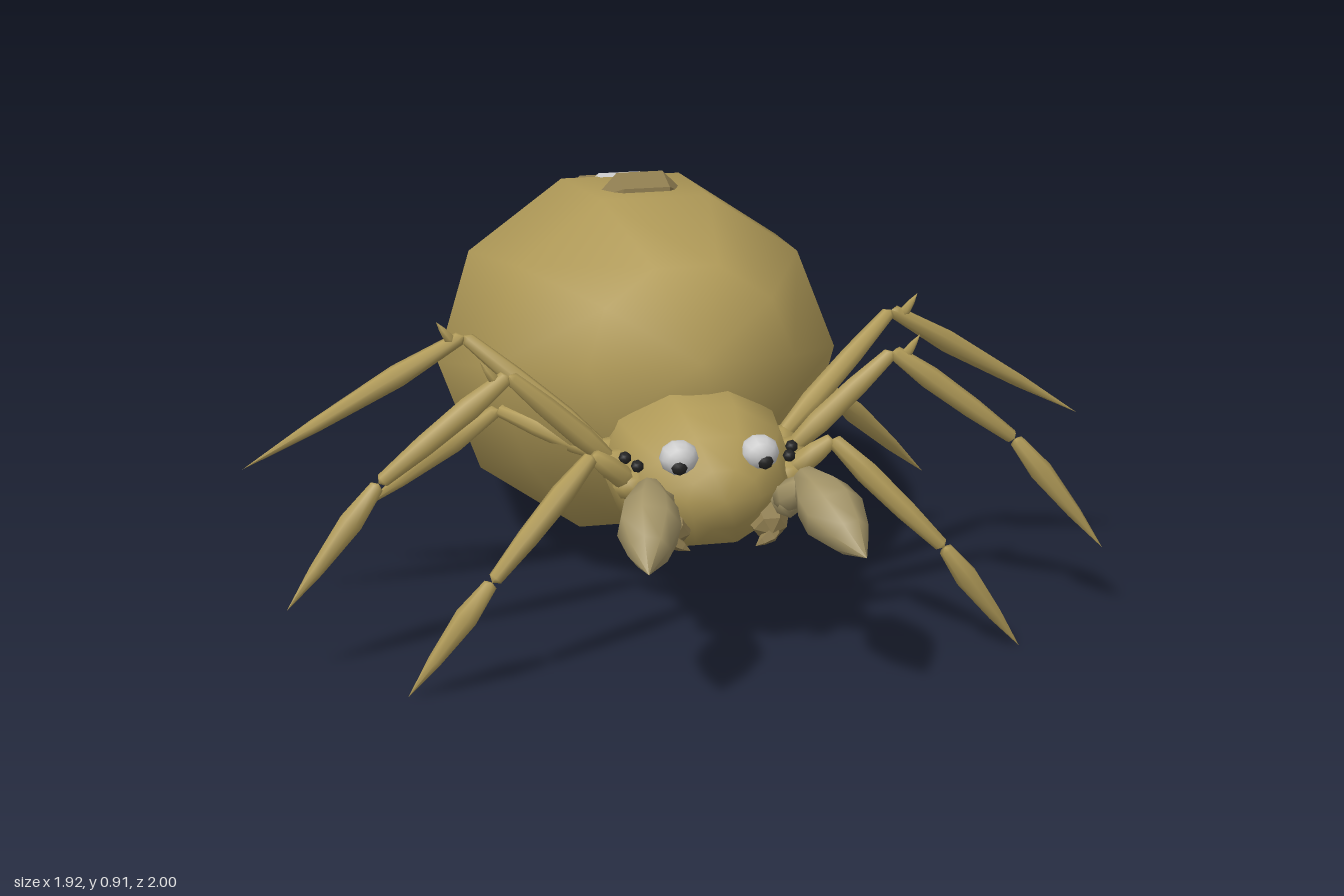
import * as THREE from 'three';

const mat = (color, flatShading = false) => new THREE.MeshStandardMaterial({ color, flatShading });
const BODY = mat(0xb09a58), PALP = mat(0xa39468), SPOT = mat(0x8f7d50, true), PALE = mat(0xcccccc, true);
const WHITE = mat(0xcccccc), DARK = mat(0x222222);
const V = (p) => new THREE.Vector3(...p);

export function createModel() {
  const root = new THREE.Group();

  const add = (name, geo, material, parent = root) => {
    const mesh = new THREE.Mesh(geo, material);
    mesh.name = name;
    parent.add(mesh);
    return mesh;
  };

  // Ellipsoid whose poles lie along z, with a vertex on each side
  const ellipsoid = (name, pos, size, seg, rings, material, parent) => {
    const geo = new THREE.SphereGeometry(1, seg, rings).rotateX(Math.PI / 2).scale(...size);
    const mesh = add(name, geo, material, parent);
    mesh.position.set(...pos);
    return mesh;
  };

  // Tapered limb segment from a to b; profile holds [radius, fraction along]
  const LIMB = [[0, 0], [0.65, 0.02], [1, 0.3], [0.9, 0.65], [0.6, 0.97], [0, 1]];
  const CLAW = [[0, 0], [0.6, 0.02], [1, 0.3], [0.6, 0.68], [0, 1]];
  const BULB = [[0, 0], [0.4, 0.01], [0.9, 0.3], [1, 0.5], [0.65, 0.75], [0, 1]];
  const segment = (name, a, b, r, profile, material, parent, sides = 7) => {
    const from = V(a), dir = V(b).sub(from), len = dir.length();
    const pts = profile.map(([x, t]) => new THREE.Vector2(x * r, t * len));
    const mesh = add(name, new THREE.LatheGeometry(pts, sides), material, parent);
    mesh.position.copy(from);
    mesh.quaternion.setFromUnitVectors(new THREE.Vector3(0, 1, 0), dir.normalize());
    return mesh;
  };

  // Main body
  const abdomen = ellipsoid('abdomen', [0, 0.455, -0.25], [0.46, 0.435, 0.772], 10, 6, BODY);
  abdomen.rotation.x = -0.242;
  ellipsoid('head', [0, 0.405, 0.445], [0.21, 0.175, 0.28], 10, 8, BODY);

  // Faceted bumps along the back: [y, z, half width, half height, half depth, tilt, material]
  [
    [0.86, -0.125, 0.108, 0.065, 0.1, -0.1, SPOT],
    [0.82, -0.35, 0.1, 0.05, 0.07, -0.25, PALE],
    [0.75, -0.555, 0.108, 0.07, 0.095, -0.35, SPOT],
  ].forEach(([y, z, sx, sy, sz, tilt, material]) => {
    const geo = new THREE.SphereGeometry(1, 6, 3).rotateZ(Math.PI / 2).scale(sx, sy, sz);
    const bump = add('backBump', geo, material);
    bump.position.set(0, y, z);
    bump.rotation.x = tilt;
  });

  // Leg joints, front pair to rear pair: hip, knee, [ankle], tip
  const legs = [
    [[0.17, 0.41, 0.58], [0.26, 0.49, 0.61], [0.49, 0.255, 0.69], [0.67, 0.01, 0.68]],
    [[0.19, 0.43, 0.5], [0.42, 0.645, 0.51], [0.7, 0.43, 0.52], [0.905, 0.17, 0.545]],
    [[0.19, 0.43, 0.42], [0.48, 0.675, 0.295], [0.96, 0.375, 0.205]],
    [[0.17, 0.4, 0.36], [0.38, 0.45, 0.13], [0.68, 0.16, -0.07]],
  ];

  for (const s of [1, -1]) {
    const side = s > 0 ? 'left' : 'right';
    const m = ([x, y, z]) => [x * s, y, z];

    // Legs with hip joints and knee spurs
    legs.forEach((joints, i) => {
      const leg = new THREE.Group();
      leg.name = `${side}Leg${i + 1}`;
      root.add(leg);
      ellipsoid('hip', m(joints[0]), [0.045, 0.035, 0.035], 7, 5, BODY, leg);
      for (let k = 0; k < joints.length - 1; k++) {
        const last = k === joints.length - 2;
        segment(last ? 'claw' : 'legSegment', m(joints[k]), m(joints[k + 1]), 0.026, last ? CLAW : LIMB, BODY, leg);
      }
      const [x, y, z] = joints[1];
      if (i === 1 || i === 2)
        segment('kneeSpur', m([x + 0.02, y - 0.02, z]), m([x + 0.06, y + 0.035, z]), 0.012, CLAW, BODY, leg, 5);
    });

    // Feelers ending in thick bulbs
    const feeler = new THREE.Group();
    feeler.name = `${side}Feeler`;
    root.add(feeler);
    segment('feelerBase', m([0.16, 0.36, 0.6]), m([0.135, 0.4, 0.73]), 0.04, LIMB, PALP, feeler);
    segment('feelerJoint', m([0.125, 0.39, 0.69]), m([0.175, 0.455, 0.78]), 0.035, LIMB, PALP, feeler);
    segment('feelerBulb', m([0.165, 0.455, 0.73]), m([0.225, 0.365, 1]), 0.067, BULB, PALP, feeler, 8);

    // Jaws and fangs
    const jaw = ellipsoid(`${side}Jaw`, m([0.105, 0.345, 0.65]), [0.05, 0.045, 0.06], 6, 4, SPOT);
    jaw.rotation.x = 0.4;
    segment(`${side}Fang`, m([0.12, 0.325, 0.69]), m([0.07, 0.295, 0.7]), 0.018, CLAW, SPOT, root, 5);

    // Large eye with pupil, and small side eyes
    ellipsoid(`${side}Eye`, m([0.087, 0.49, 0.66]), [0.042, 0.038, 0.038], 10, 8, WHITE);
    ellipsoid(`${side}Pupil`, m([0.092, 0.478, 0.688]), [0.018, 0.018, 0.015], 8, 6, DARK);
    ellipsoid(`${side}SideEye`, m([0.165, 0.46, 0.61]), [0.014, 0.014, 0.014], 7, 5, DARK);
    ellipsoid(`${side}RearEye`, m([0.182, 0.465, 0.565]), [0.014, 0.014, 0.014], 7, 5, DARK);

    // Silk nozzles at the rear
    ellipsoid(`${side}Spinneret`, m([0.06, 0.27, -0.972]), [0.012, 0.012, 0.018], 6, 4, SPOT);
  }

  return root;
}
